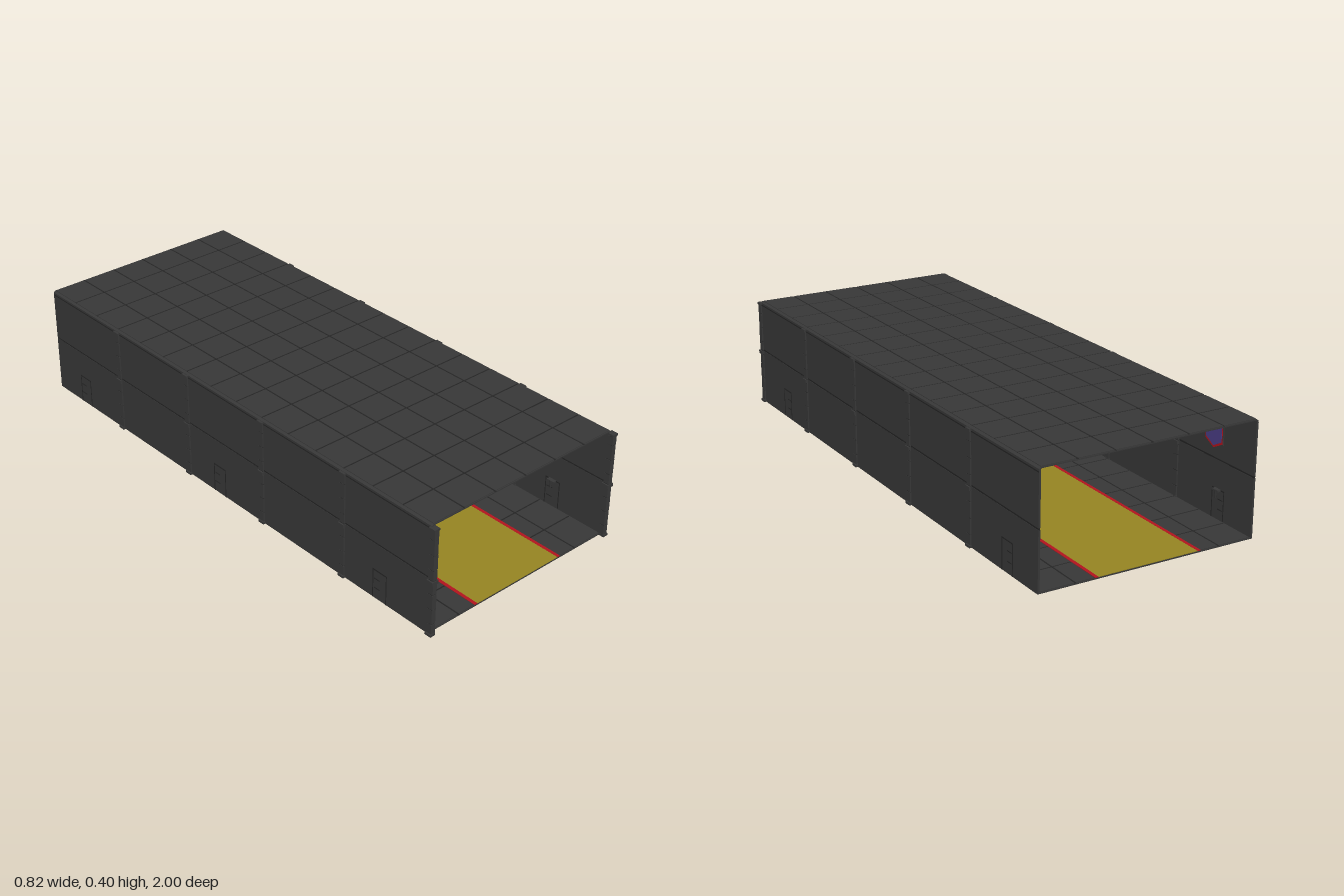
import * as THREE from 'three';
import { mergeGeometries } from 'three/addons/utils/BufferGeometryUtils.js';

const mat = (name, color) => {
  const m = new THREE.MeshStandardMaterial({ color });
  m.name = name;
  return m;
};

// Box geometry given by its centre and size
const box = (x, y, z, w, h, d) => new THREE.BoxGeometry(w, h, d).translate(x, y, z);

export function createModel() {
  const grey = mat('hull grey', 0x373737);
  const dark = mat('seam grey', 0x232323);
  const yellow = mat('runway yellow', 0x958422);
  const red = mat('marking red', 0xb0141e);
  const purple = mat('banner purple', 0x4a3d85);

  const model = new THREE.Group();
  model.name = 'hangarTunnel';
  const add = (name, geos, material, parent = model) => {
    const mesh = new THREE.Mesh(mergeGeometries([geos].flat()), material);
    mesh.name = name;
    parent.add(mesh);
    return mesh;
  };

  const Z0 = -1, Z1 = 0.98, LEN = Z1 - Z0, ZM = (Z0 + Z1) / 2;
  const COLS = 6, ROWS = 15, BAY = 0.397;
  const tileW = 0.8 / COLS, tileD = LEN / ROWS, gap = 0.006;

  // Raised tiles with dark seams between them
  function tiledDeck(name, y, halfWidth) {
    const tiles = [], seams = [];
    for (let i = 0; i < COLS; i++) {
      const x0 = Math.max(-halfWidth, -0.4 + i * tileW + gap / 2);
      const x1 = Math.min(halfWidth, -0.4 + (i + 1) * tileW - gap / 2);
      for (let j = 0; j < ROWS; j++) {
        tiles.push(box((x0 + x1) / 2, y + 0.001, Z0 + (j + 0.5) * tileD, x1 - x0, 0.002, tileD - gap));
      }
      if (i) seams.push(box(-0.4 + i * tileW, y + 0.0003, ZM, gap, 0.0006, LEN));
    }
    for (let j = 1; j < ROWS; j++) {
      seams.push(box(0, y + 0.0003, Z0 + j * tileD, halfWidth * 2, 0.0006, gap));
    }
    add(name + 'Tiles', tiles, grey);
    add(name + 'Seams', seams, dark);
  }

  // Floor with the painted runway
  add('floor', box(0, 0.002, ZM, 0.8, 0.004, LEN), grey);
  tiledDeck('floor', 0.004, 0.39);
  add('runway', box(0, 0.006, ZM, 0.37, 0.002, LEN), yellow);
  add('runwayEdges', [-1, 1].map(s => box(s * 0.191, 0.0062, ZM, 0.012, 0.0024, LEN)), red);

  // Roof slab with chamfered long edges
  const roofShape = new THREE.Shape([
    [-0.4, 0.394], [-0.388, 0.398], [0.388, 0.398], [0.4, 0.394], [0.4, 0.397], [0.393, 0.402], [-0.393, 0.402], [-0.4, 0.397],
  ].map(p => new THREE.Vector2(...p)));
  add('roof', new THREE.ExtrudeGeometry(roofShape, { depth: LEN, bevelEnabled: false }).translate(0, 0, Z0), grey);
  tiledDeck('roof', 0.402, 0.392);

  // Banner outline with a pointed foot
  const bannerGeometry = (w, top, bottom, depth) => {
    const tip = 0.022;
    const shape = new THREE.Shape([
      [-w, top], [-w, bottom + tip], [0, bottom], [w, bottom + tip], [w, top],
    ].map(p => new THREE.Vector2(...p)));
    return new THREE.ExtrudeGeometry(shape, { depth, bevelEnabled: false });
  };

  // One segmented column: collars at foot, middle and head
  function pillar(s, z, parent) {
    const x = s * 0.3965, joints = [0.008, 0.045, 0.1, 0.155, 0.193, 0.207, 0.245, 0.3, 0.355, 0.388];
    const blocks = [box(x + s * 0.002, 0.004, z, 0.021, 0.008, 0.026)], rings = [];
    for (let i = 0; i + 1 < joints.length; i++) {
      const a = joints[i], b = joints[i + 1], collar = i === 4;
      const w = collar ? 0.026 : i % 2 ? 0.0165 : 0.0175;
      blocks.push(box(x, (a + b) / 2, z, w, b - a - 0.002, collar ? 0.026 : 0.022));
      rings.push(box(x, b, z, 0.0155, 0.003, 0.02));
    }
    blocks.push(box(x + s * 0.001, 0.3925, z, 0.022, 0.007, 0.026));
    add('pillar', blocks, grey, parent);
    add('pillarJoints', rings, dark, parent);
  }

  // Door frame, panel lines on both faces, and a tapered lamp inside
  function door(s, z, parent) {
    const trim = [];
    for (const x of [s * 0.4003, s * 0.3927]) {
      trim.push(box(x, 0.108, z, 0.002, 0.004, 0.06));
      for (const e of [-1, 1]) trim.push(box(x, 0.055, z + e * 0.03, 0.0015, 0.11, 0.003));
      for (const y of [0.04, 0.075]) trim.push(box(x, y, z - 0.012, 0.0015, 0.003, 0.025));
    }
    add('doorTrim', trim, dark, parent);
    const lamp = new THREE.CylinderGeometry(0.006, 0.002, 0.03, 6).translate(s * 0.383, 0.095, z);
    add('doorLamp', [lamp, box(s * 0.386, 0.108, z, 0.014, 0.006, 0.03)], grey, parent);
  }

  // Side walls, mirrored
  for (const s of [1, -1]) {
    const side = new THREE.Group();
    side.name = s > 0 ? 'leftWall' : 'rightWall';
    model.add(side);
    const len = 1.985, zc = Z0 + len / 2;
    add('wallPanels', [
      box(s * 0.3965, 0.105, zc, 0.007, 0.202, len),
      box(s * 0.3965, 0.304, zc, 0.007, 0.184, len),
    ], grey, side);
    add('wallSeam', box(s * 0.3965, 0.209, zc, 0.005, 0.008, len), dark, side);
    add('wallTopSeam', box(s * 0.3995, 0.388, zc, 0.002, 0.004, len), dark, side);

    for (let i = 0; i < 5; i++) {
      const z = 0.987 - i * BAY, mid = Math.max(z - BAY / 2, -0.8);
      pillar(s, z, side);

      // Wall banner: backing, red border, purple field
      const banner = new THREE.Group();
      banner.name = 'banner';
      banner.position.set(s * 0.393, 0, mid);
      banner.rotation.y = -s * Math.PI / 2;
      side.add(banner);
      add('bannerBacking', bannerGeometry(0.046, 0.349, 0.241, 0.004), grey, banner);
      add('bannerBorder', bannerGeometry(0.043, 0.346, 0.245, 0.005), red, banner);
      add('bannerField', bannerGeometry(0.04, 0.346, 0.252, 0.006), purple, banner);
    }

    const doors = s > 0 ? [0.763, -0.828] : [0.763, -0.033, -0.828];
    for (const z of doors) door(s, z, side);
  }
  return model;
}
